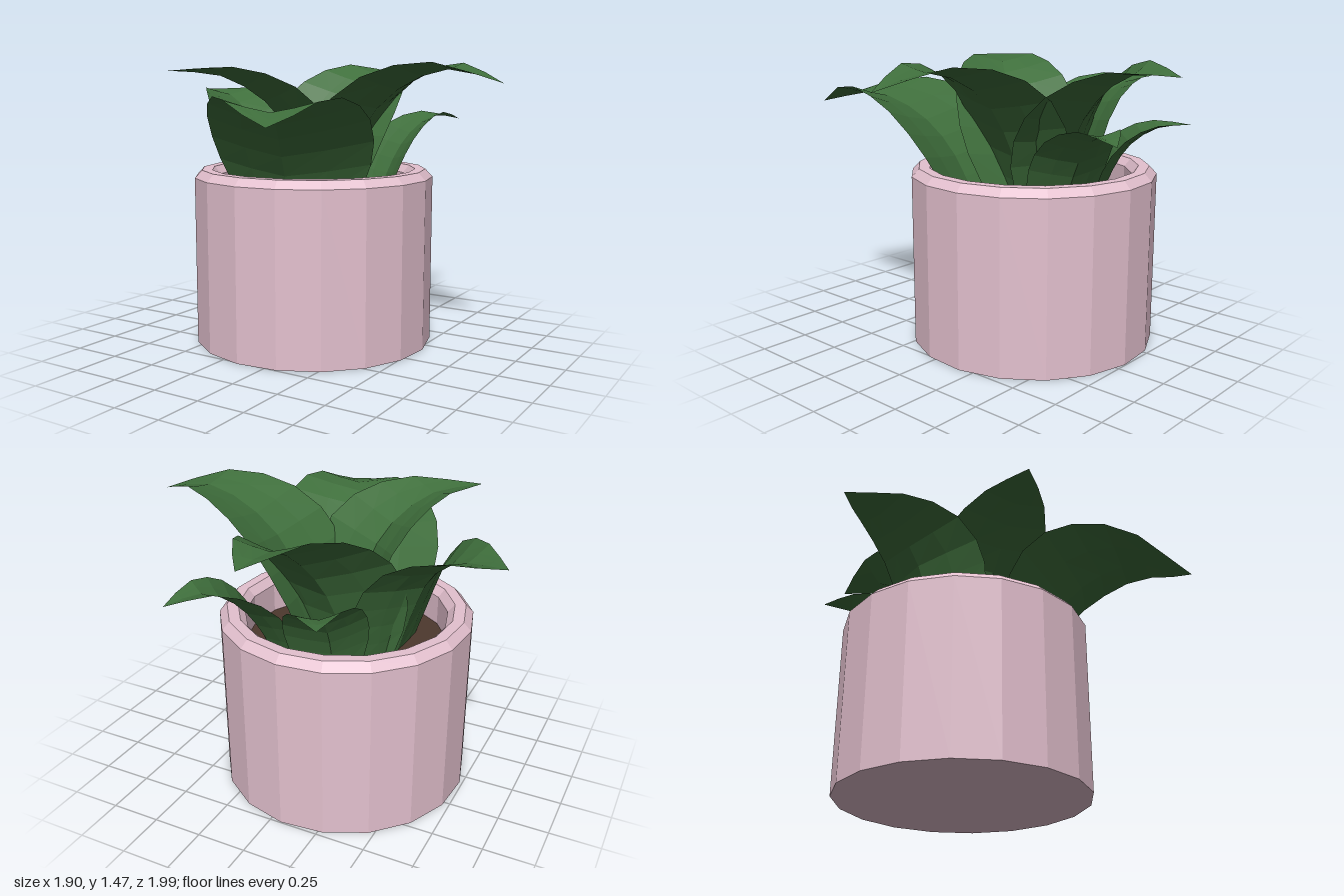
import * as THREE from 'three';

const POT_X = -0.105, POT_Z = -0.115, SIDES = 18;
const TURN = THREE.MathUtils.degToRad(-4.4);
const UP = new THREE.Vector3(0, 1, 0);

// A folded blade along a midrib; turn swings its width about y, roll tips it sideways
function leafGeometry({ rib: points, width, fold, turn = 0, roll = 0 }, rows = 9) {
  const rib = new THREE.CatmullRomCurve3(points.map(p => new THREE.Vector3(...p)));
  const across = [-1, -0.5, 0, 0.5, 1], n = across.length;
  const out = rib.getPoint(1).sub(rib.getPoint(0)).setY(0).normalize();
  const side = out.cross(UP).applyAxisAngle(UP, THREE.MathUtils.degToRad(turn));
  side.y = roll;
  const pos = [], index = [];
  for (let i = 0; i <= rows; i++) {
    const t = i / rows;
    const centre = rib.getPointAt(t);
    const normal = side.clone().cross(rib.getTangentAt(t)).normalize();
    const w = i === rows ? 0 : Math.sin(Math.PI * (0.22 + 0.78 * t));
    for (const s of across) {
      const p = centre.clone()
        .addScaledVector(side, s * w * width)
        .addScaledVector(normal, Math.pow(Math.abs(s), 1.2) * Math.pow(w, 1.5) * fold);
      pos.push(p.x, p.y, p.z);
    }
  }
  for (let i = 0; i < rows; i++) {
    for (let j = 0; j < n - 1; j++) {
      const a = i * n + j, b = a + 1, c = a + n, d = c + 1;
      index.push(a, b, c);
      if (i < rows - 1) index.push(b, d, c);
    }
  }
  const g = new THREE.BufferGeometry();
  g.setAttribute('position', new THREE.Float32BufferAttribute(pos, 3));
  g.setIndex(index);
  const flat = g.toNonIndexed();
  flat.computeVertexNormals();
  return flat;
}

export function createModel() {
  const model = new THREE.Group();
  model.name = 'pottedPlant';
  const paint = (color, side = THREE.FrontSide) =>
    new THREE.MeshStandardMaterial({ color, flatShading: true, side });
  const add = (name, geometry, material) => {
    const mesh = new THREE.Mesh(geometry, material);
    mesh.name = name;
    model.add(mesh);
    return mesh;
  };

  // Pot with bevelled rim and hollow inside
  const profile = [
    [0, 0], [0.633, 0], [0.633, 0.88], [0.595, 0.92],
    [0.54, 0.92], [0.505, 0.88], [0.505, 0.7],
  ].map(p => new THREE.Vector2(...p));
  add('pot', new THREE.LatheGeometry(profile, SIDES, TURN), paint(0xe4c1cf))
    .position.set(POT_X, 0, POT_Z);

  // Soil
  const soil = new THREE.CylinderGeometry(0.51, 0.51, 0.06, SIDES, 1, false, TURN);
  add('soil', soil, paint(0x4d382e)).position.set(POT_X, 0.7, POT_Z);

  // Leaves, each with its midrib from soil to tip
  const green = paint(0x3f6f3c, THREE.DoubleSide);
  const leaves = {
    leftLeaf: {
      rib: [[-0.01, 0.7, -0.15], [0.1, 1.0, -0.15], [0.31, 1.29, -0.15], [0.64, 1.435, -0.13], [0.95, 1.37, -0.1]],
      width: 0.33, fold: 0.09,
    },
    rightLeaf: {
      rib: [[-0.38, 0.7, -0.12], [-0.46, 0.95, -0.13], [-0.56, 1.17, -0.16], [-0.72, 1.29, -0.22], [-0.95, 1.33, -0.3]],
      width: 0.33, fold: 0.11,
    },
    frontLeaf: {
      rib: [[-0.02, 0.7, 0.22], [0.02, 0.95, 0.35], [0.09, 1.13, 0.5], [0.21, 1.25, 0.72], [0.37, 1.2, 0.99]],
      width: 0.43, fold: 0.13, turn: -17,
    },
    innerLeaf: {
      rib: [[-0.12, 0.7, -0.1], [-0.13, 1.0, 0], [-0.2, 1.24, 0.13], [-0.36, 1.4, 0.32], [-0.57, 1.43, 0.5]],
      width: 0.32, fold: 0.12,
    },
    backLeaf: {
      rib: [[-0.17, 0.7, -0.24], [-0.13, 1.02, -0.34], [-0.08, 1.25, -0.5], [-0.05, 1.41, -0.73], [-0.04, 1.42, -1]],
      width: 0.35, fold: 0.12, turn: 12, roll: -0.09,
    },
    smallBackLeftLeaf: {
      rib: [[0.1, 0.7, -0.45], [0.14, 0.93, -0.55], [0.2, 1.09, -0.66], [0.28, 1.18, -0.8], [0.37, 1.16, -0.95]],
      width: 0.2, fold: 0.07,
    },
    smallBackRightLeaf: {
      rib: [[-0.2, 0.7, -0.45], [-0.22, 0.92, -0.53], [-0.24, 1.06, -0.62], [-0.28, 1.15, -0.75], [-0.34, 1.17, -0.89]],
      width: 0.2, fold: 0.07, turn: 20,
    },
  };
  for (const [name, spec] of Object.entries(leaves)) add(name, leafGeometry(spec), green);
  return model;
}
